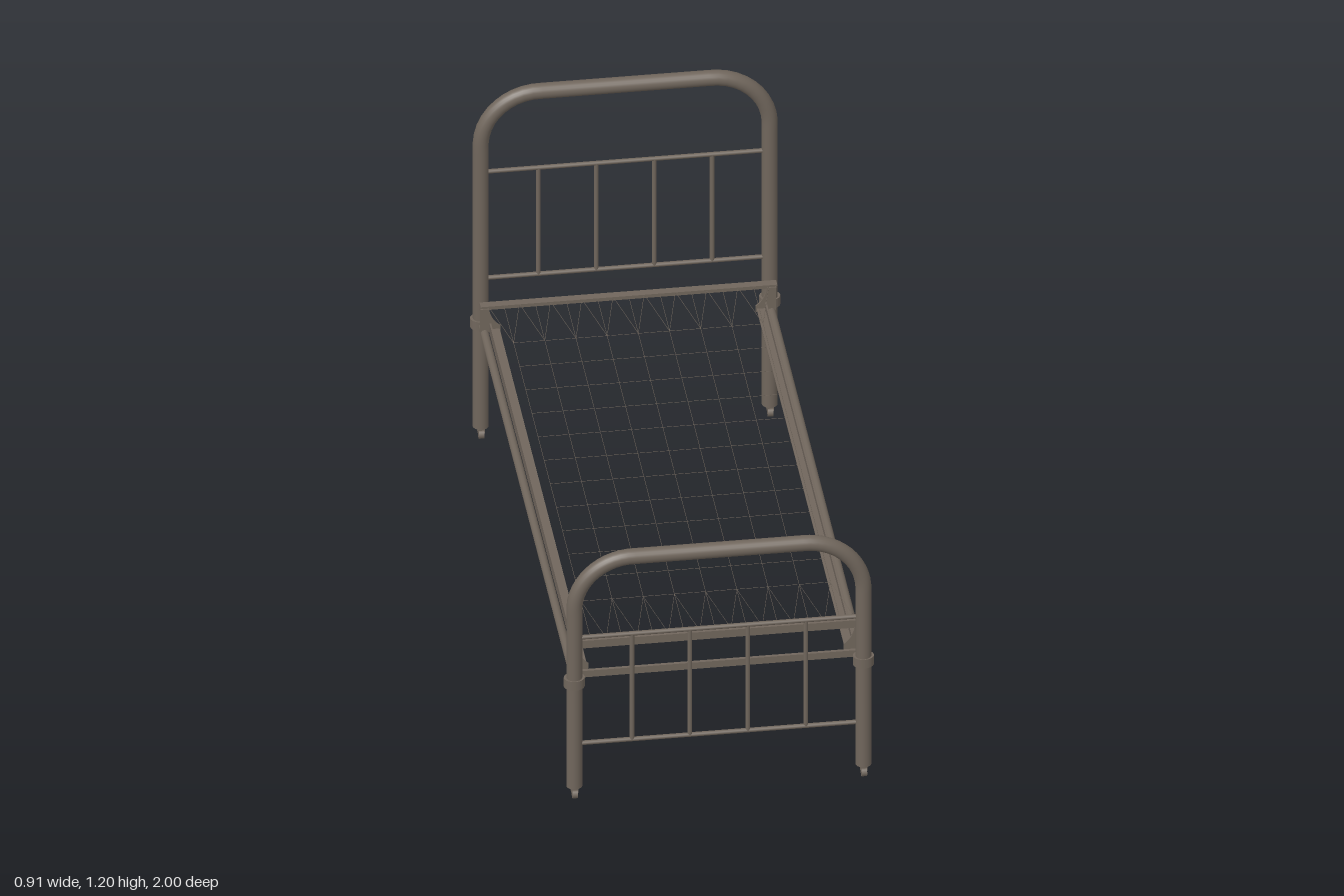
import * as THREE from 'three';

const PX = 0.424, PZ = 0.973, R = 0.0235;

export function createModel() {
  const bed = new THREE.Group();
  bed.name = 'metalBedFrame';
  const metal = new THREE.MeshStandardMaterial({ color: 0x70665c });
  metal.name = 'brown painted metal';

  const add = (name, geo, x = 0, y = 0, z = 0) => {
    const m = new THREE.Mesh(geo, metal);
    m.name = name;
    m.position.set(x, y, z);
    bed.add(m);
    return m;
  };
  const box = (name, w, h, d, x, y, z) => add(name, new THREE.BoxGeometry(w, h, d), x, y, z);
  // Round rod between two points
  const rod = (name, a, b, r, sides = 10) => {
    const p = new THREE.Vector3(...a), q = new THREE.Vector3(...b);
    const m = add(name, new THREE.CylinderGeometry(r, r, p.distanceTo(q), sides));
    m.position.copy(p).add(q).multiplyScalar(0.5);
    m.quaternion.setFromUnitVectors(new THREE.Vector3(0, 1, 0), q.sub(p).normalize());
    return m;
  };

  // Bent tube forming both posts and the top of one end
  const hoop = (name, top, z) => {
    const c = 0.17, k = c * 0.448, base = 0.037, t = top - R;
    const v = (x, y) => new THREE.Vector3(x, y, z);
    const path = new THREE.CurvePath();
    path.add(new THREE.LineCurve3(v(-PX, base), v(-PX, t - c)));
    path.add(new THREE.CubicBezierCurve3(v(-PX, t - c), v(-PX, t - k), v(-PX + k, t), v(-PX + c, t)));
    path.add(new THREE.LineCurve3(v(-PX + c, t), v(PX - c, t)));
    path.add(new THREE.CubicBezierCurve3(v(PX - c, t), v(PX - k, t), v(PX, t - k), v(PX, t - c)));
    path.add(new THREE.LineCurve3(v(PX, t - c), v(PX, base)));
    add(name, new THREE.TubeGeometry(path, 110, R, 20, false));
  };
  hoop('headboardTube', 1.2, -PZ);
  hoop('footboardTube', 0.835, PZ);

  // Two cross rods and four spindles in each end
  const grille = (name, low, high, z) => {
    for (const y of [low, high]) rod(name + 'CrossRod', [-PX, y, z], [PX, y, z], 0.007);
    for (const x of [-0.255, -0.085, 0.085, 0.255]) {
      rod(name + 'Spindle', [x, low, z], [x, high, z], 0.007);
    }
  };
  grille('headboard', 0.545, 0.912, -PZ);
  grille('footboard', 0.18, 0.545, PZ);
  box('footCrossBar', 0.84, 0.022, 0.01, 0, 0.393, 0.932);

  // Curved corner bracket outline
  const bracket = new THREE.Shape();
  bracket.moveTo(0.434, 0.395);
  bracket.lineTo(0.434, 0.475);
  bracket.lineTo(0.408, 0.475);
  bracket.quadraticCurveTo(0.402, 0.435, 0.374, 0.415);
  bracket.lineTo(0.374, 0.395);
  bracket.closePath();

  for (const sz of [-1, 1]) {
    // Angle iron across each end
    box('endRailWeb', 0.87, 0.025, 0.004, 0, 0.483, sz * 0.917);
    box('endRailFlange', 0.87, 0.004, 0.026, 0, 0.494, sz * 0.906);

    for (const sx of [-1, 1]) {
      const x = sx * PX, z = sz * PZ;
      // Collar and capped foot of the post
      add('postCollar', new THREE.CylinderGeometry(0.031, 0.031, 0.03, 20), x, 0.394, z).scale.z = 0.87;
      add('postCap', new THREE.CylinderGeometry(R, R, 0.004, 20), x, 0.037, z);
      // Caster
      rod('casterStem', [x, 0.016, z], [x, 0.04, z], 0.008);
      box('casterFork', 0.02, 0.014, 0.018, x, 0.024, z + 0.006);
      rod('casterWheel', [x - 0.008, 0.0135, z + 0.012], [x + 0.008, 0.0135, z + 0.012], 0.0135, 14);
      // Bracket plate, turned round for the right side
      const plate = new THREE.ExtrudeGeometry(bracket, { depth: 0.005, bevelEnabled: false });
      plate.translate(0, 0, -0.0025);
      add('cornerBracket', plate, 0, 0, sz * 0.914).rotation.y = sx < 0 ? Math.PI : 0;
    }
  }

  // Side rails: an outer tube and an inner angle iron
  for (const sx of [-1, 1]) {
    rod('sideRail', [sx * 0.421, 0.392, -PZ], [sx * 0.421, 0.392, PZ], 0.0125, 12);
    box('sideAngleWeb', 0.005, 0.036, 1.83, sx * 0.404, 0.407, 0);
    box('sideAngleFlange', 0.028, 0.004, 1.83, sx * 0.391, 0.404, 0);
  }

  // Fine wire mesh with spread ties to the end rails
  const wy = 0.491, wr = 0.0007, edge = 0.6985;
  for (let i = -4; i <= 4; i++) {
    const x = i * 0.0915;
    rod('meshLongWire', [x, wy, -0.9], [x, wy, 0.9], wr, 4);
    for (const sz of [-1, 1]) for (const sx of [-1, 1]) {
      rod('meshTie', [x, wy, sz * edge], [x + sx * 0.045, wy, sz * 0.9], wr, 4);
    }
  }
  for (let j = 0; j < 12; j++) {
    const z = -edge + j * 0.127;
    rod('meshCrossWire', [-0.366, wy, z], [0.366, wy, z], wr, 4);
  }
  return bed;
}
